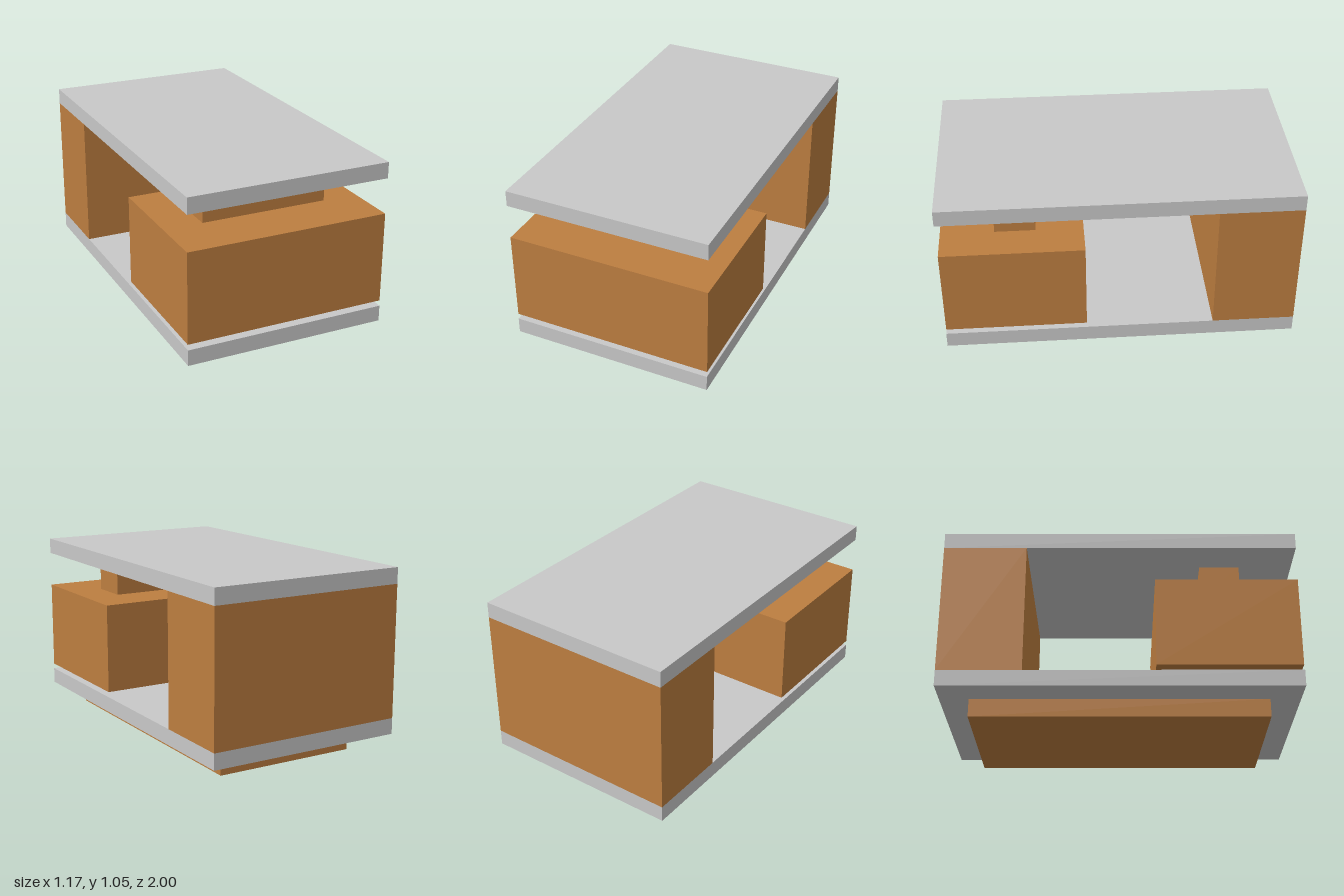
import * as THREE from 'three';

export function createModel() {
  const group = new THREE.Group();
  const grey = new THREE.MeshStandardMaterial({ name: 'light grey', color: 0xc8c8c8 });
  const wood = new THREE.MeshStandardMaterial({ name: 'wood brown', color: 0xbd7e40 });

  // Box spanning the given [min, max] range on each axis
  const addBox = (name, material, x, y, z) => {
    const size = [x, y, z].map(([a, b]) => b - a);
    const mesh = new THREE.Mesh(new THREE.BoxGeometry(...size), material);
    mesh.position.set(...[x, y, z].map(([a, b]) => (a + b) / 2));
    mesh.name = name;
    group.add(mesh);
  };

  const width = [-0.583, 0.583];
  const depth = [-1, 1];

  // Plinth and the two slabs
  addBox('plinth', wood, [-0.398, 0.441], [0, 0.105], [-0.835, 0.83]);
  addBox('lowerSlab', grey, width, [0.105, 0.197], depth);
  addBox('upperSlab', grey, width, [0.958, 1.05], depth);

  // Full-height block at the back
  addBox('backBlock', wood, width, [0.197, 0.958], [-1, -0.53]);

  // Front block held between a low spacer and a neck
  addBox('frontSpacer', wood, [-0.381, 0.372], [0.197, 0.229], [0.372, 0.877]);
  addBox('frontBlock', wood, width, [0.229, 0.753], [0.197, 0.997]);
  addBox('frontNeck', wood, [-0.36, 0.378], [0.753, 0.958], [0.465, 0.695]);

  return group;
}
